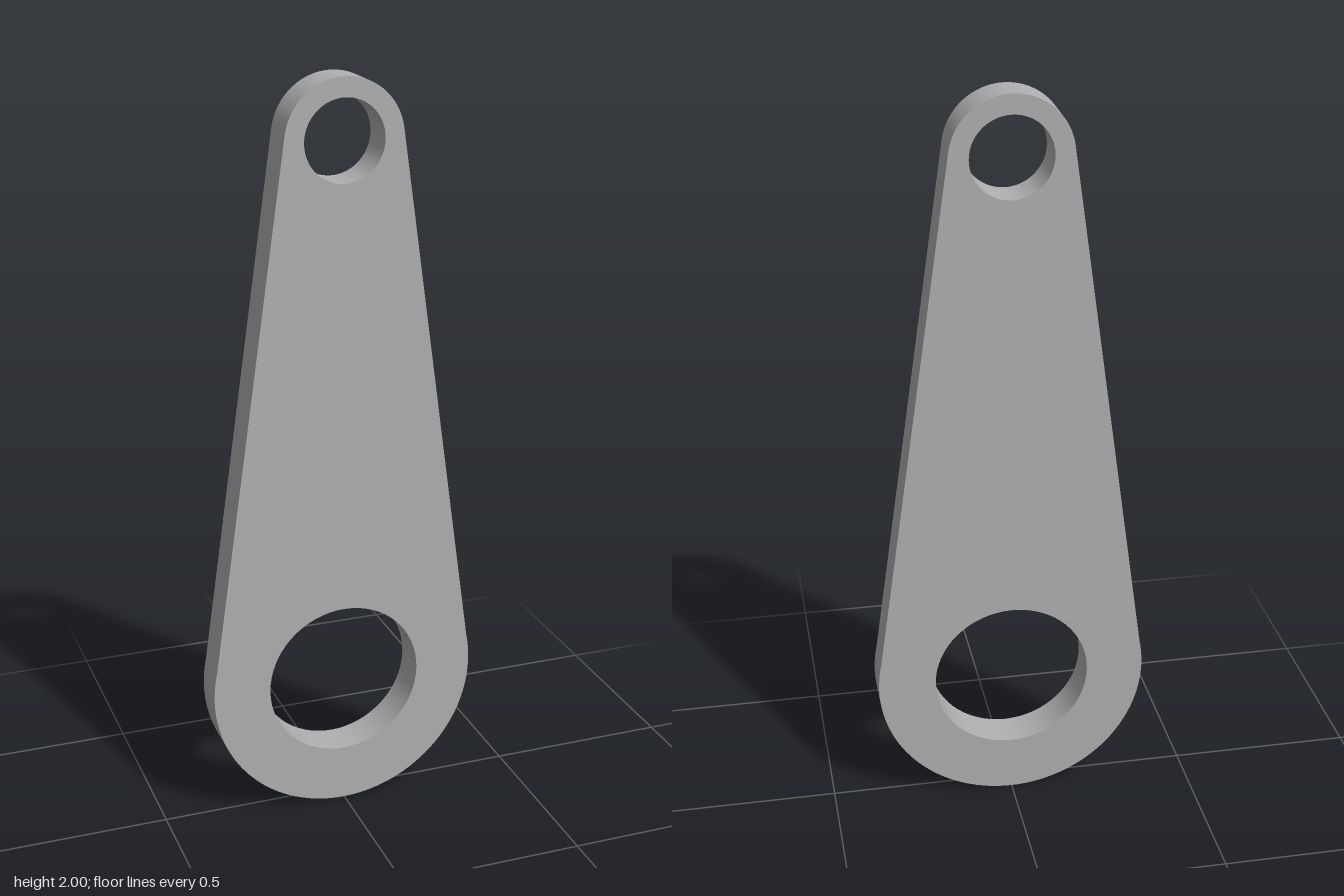
import * as THREE from 'three';
import { toCreasedNormals } from 'three/addons/utils/BufferGeometryUtils.js';

const THICKNESS = 0.105;
const BIG = { y: 0.368, radius: 0.368, hole: 0.212, edgeAngle: 0.21 };
const SMALL = { y: 1.843, radius: 0.157, hole: 0.106, edgeAngle: 0.143 };

export function createModel() {
  const group = new THREE.Group();
  group.name = 'linkArm';
  const steel = new THREE.MeshStandardMaterial({ color: 0xb0b0b0 });
  steel.name = 'grey steel';

  // Tapered outline: small round end on top, large round end below
  const outline = new THREE.Shape();
  outline.absarc(0, SMALL.y, SMALL.radius, SMALL.edgeAngle, Math.PI - SMALL.edgeAngle, false);
  outline.absarc(0, BIG.y, BIG.radius, Math.PI - BIG.edgeAngle, Math.PI * 2 + BIG.edgeAngle, false);
  outline.closePath();

  // Round bore through each end
  for (const end of [BIG, SMALL]) {
    const bore = new THREE.Path();
    bore.absarc(0, end.y, end.hole, 0, Math.PI * 2, true);
    outline.holes.push(bore);
  }

  // Flat plate, smooth around the curves and sharp at the faces
  const plate = new THREE.ExtrudeGeometry(outline, {
    depth: THICKNESS, bevelEnabled: false, curveSegments: 32,
  });
  plate.translate(0, 0, -THICKNESS / 2);
  const arm = new THREE.Mesh(toCreasedNormals(plate, 0.5), steel);
  arm.name = 'armPlate';
  group.add(arm);
  return group;
}
